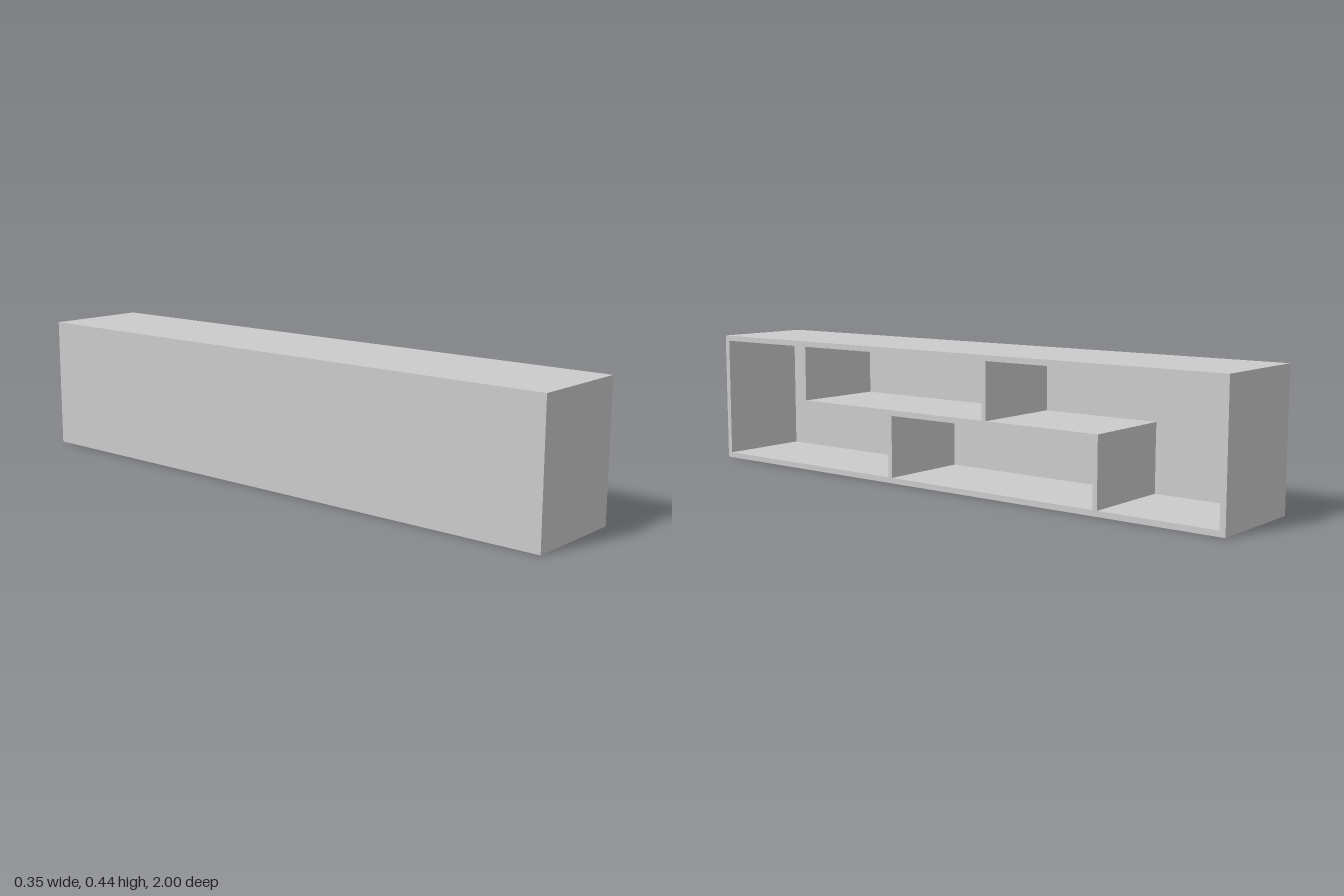
import * as THREE from 'three';

const W = 0.352, H = 0.438, L = 2, T = 0.018; // depth (x), height, length (z), board thickness
const BACK = 0.038, D = 0.015;                // back panel and divider thickness

export function createModel() {
  const group = new THREE.Group();
  const material = new THREE.MeshStandardMaterial({ color: 0xcccccc, flatShading: true });

  // Board given by its minimum and maximum corners
  function board(name, [x0, y0, z0], [x1, y1, z1]) {
    const mesh = new THREE.Mesh(new THREE.BoxGeometry(x1 - x0, y1 - y0, z1 - z0), material);
    mesh.name = name;
    mesh.position.set((x0 + x1) / 2, (y0 + y1) / 2, (z0 + z1) / 2);
    group.add(mesh);
  }

  const front = W / 2, back = -W / 2, inner = back + BACK;
  const end = L / 2, shelfLow = (H - T) / 2 + 0.01, shelfHigh = shelfLow + T;

  // Outer case, open towards +x
  board('bottomPanel', [back, 0, -end], [front, T, end]);
  board('topPanel', [back, H - T, -end], [front, H, end]);
  board('frontEndPanel', [back, T, end - T], [front, H - T, end]);
  board('rearEndPanel', [back, T, -end], [front, H - T, -end + T]);
  board('backPanel', [back, T, -end + T], [inner, H - T, end - T]);

  // Middle shelf, stopping short of both ends
  board('middleShelf', [inner, shelfLow, -0.592], [front, shelfHigh, 0.608]);

  // Staggered dividers above and below the shelf
  for (const z of [0.6, -0.178])
    board('upperDivider', [inner, shelfHigh, z - D / 2], [front, H - T, z + D / 2]);
  for (const z of [0.207, -0.584])
    board('lowerDivider', [inner, T, z - D / 2], [front, shelfLow, z + D / 2]);

  return group;
}
